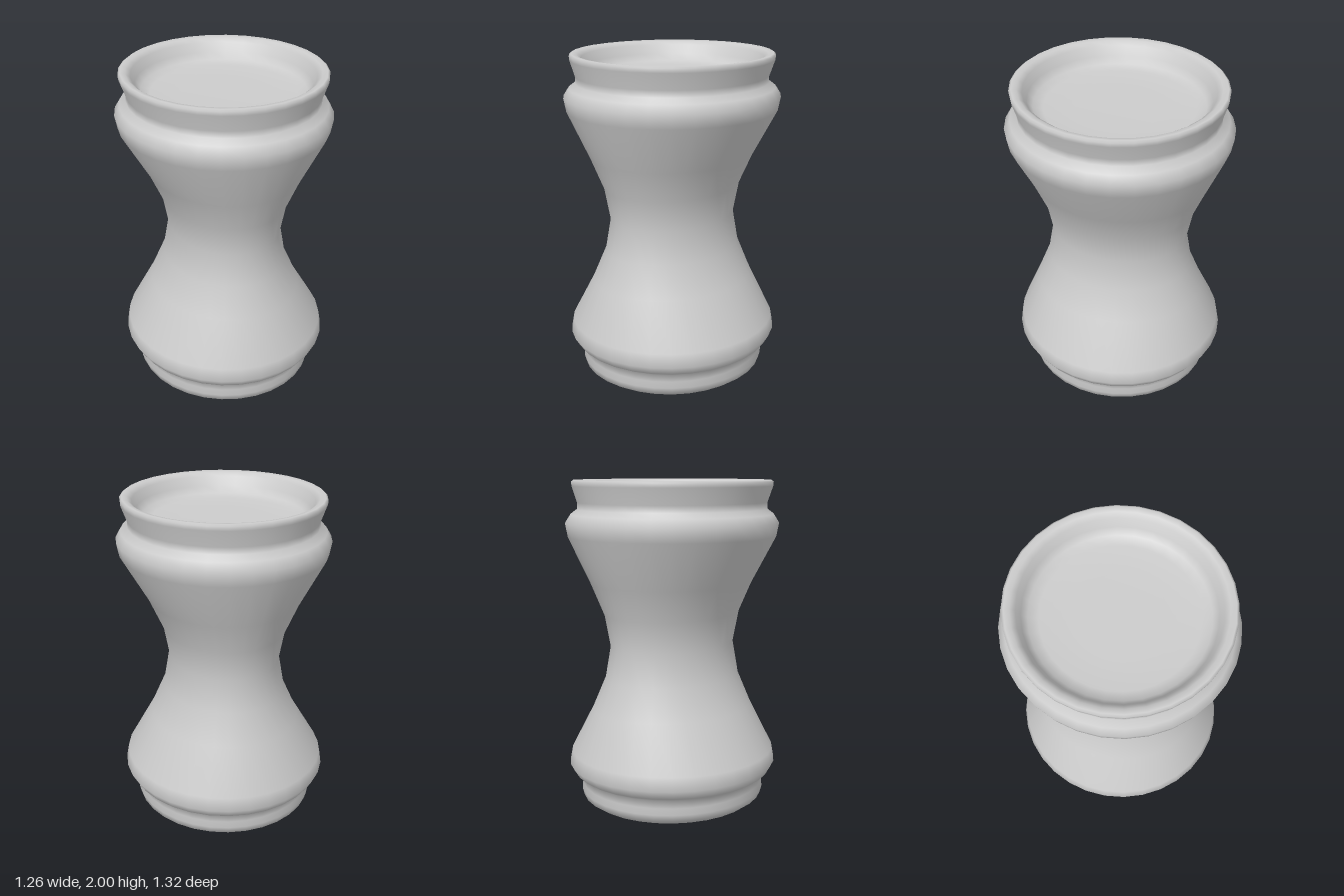
import * as THREE from 'three';
import { mergeVertices } from 'three/addons/utils/BufferGeometryUtils.js';

// Rings from base centre, up the outside, over the rim to the lid centre:
// [radius along x, radius along z, height]
const RINGS = [
  [0, 0, 0], [0.25, 0.26, 0.002], [0.42, 0.44, 0.01], [0.51, 0.53, 0.03],
  [0.55, 0.575, 0.06], [0.56, 0.585, 0.1], [0.555, 0.58, 0.14], [0.56, 0.585, 0.19],
  [0.6, 0.625, 0.215], [0.63, 0.66, 0.27], [0.615, 0.645, 0.35],
  [0.455, 0.53, 0.62], [0.37, 0.455, 0.81], [0.335, 0.42, 1.01], [0.37, 0.455, 1.2],
  [0.455, 0.53, 1.39],
  [0.615, 0.645, 1.67], [0.63, 0.66, 1.75], [0.6, 0.625, 1.8], [0.56, 0.585, 1.83],
  [0.56, 0.585, 1.87], [0.595, 0.612, 1.965], [0.597, 0.615, 1.99],
  [0.585, 0.602, 2], [0.555, 0.57, 1.995], [0.528, 0.542, 1.975],
  [0.505, 0.52, 1.92], [0.475, 0.488, 1.88], [0.42, 0.432, 1.865], [0.25, 0.257, 1.86], [0, 0, 1.86],
];

// Lathe whose rings are stretched to ellipses
function ellipticLathe(rings, sides) {
  const profile = rings.map(([rx, , y]) => new THREE.Vector2(rx, y));
  let geo = new THREE.LatheGeometry(profile, sides);
  const pos = geo.attributes.position;
  for (let i = 0; i < pos.count; i++) {
    const [rx, rz] = rings[i % rings.length];
    if (rx > 0) pos.setZ(i, pos.getZ(i) * rz / rx);
  }
  // weld the seam so the shading is continuous
  geo.deleteAttribute('uv');
  geo.deleteAttribute('normal');
  geo = mergeVertices(geo, 1e-4);
  geo.computeVertexNormals();
  return geo;
}

export function createModel() {
  const group = new THREE.Group();
  group.name = 'pinchedCan';
  const material = new THREE.MeshStandardMaterial({ color: 0xcccccc });

  // Continuous shell: base, pinched wall, rim and recessed lid
  const shell = new THREE.Mesh(ellipticLathe(RINGS, 32), material);
  shell.name = 'canShell';
  group.add(shell);
  return group;
}
